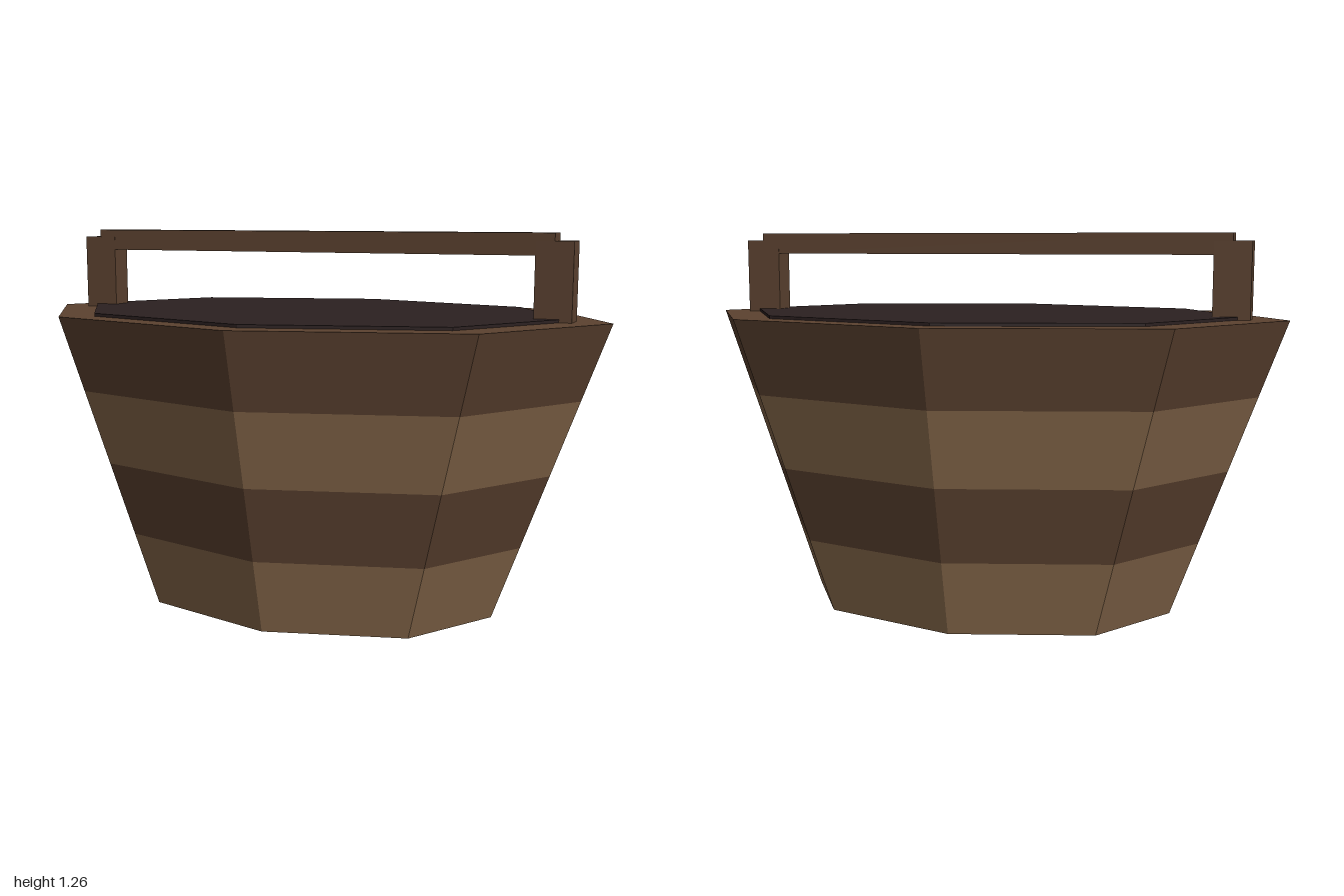
import * as THREE from 'three';

const SIDES = 8;
const DEPTH = 0.665; // depth of the oval relative to its width
const HEIGHT = 0.99;
const BANDS = 4;

const material = (name, color) => {
  const m = new THREE.MeshStandardMaterial({ color, flatShading: true });
  m.name = name;
  return m;
};

export function createModel() {
  const group = new THREE.Group();
  const darkWood = material('dark wood', 0x5c4230);
  const lightWood = material('light wood', 0x85674a);
  const interior = material('dark interior', 0x2b2020);

  const add = (name, geometry, mat, x, y, z = 0) => {
    const mesh = new THREE.Mesh(geometry, mat);
    mesh.name = name;
    mesh.position.set(x, y, z);
    group.add(mesh);
    return mesh;
  };

  // Flared walls in alternating bands
  const radiusAt = (y) => THREE.MathUtils.lerp(0.64, 1, y / HEIGHT);
  const step = HEIGHT / BANDS;
  for (let i = 0; i < BANDS; i++) {
    const g = new THREE.CylinderGeometry(
      radiusAt((i + 1) * step), radiusAt(i * step), step, SIDES, 1, true);
    g.scale(1, 1, DEPTH);
    add('wallBand' + (i + 1), g, i % 2 ? darkWood : lightWood, 0, (i + 0.5) * step);
  }

  // Flat base and top rim
  const cap = (radius, turn) =>
    new THREE.CircleGeometry(radius, SIDES).rotateX(turn).scale(1, 1, DEPTH);
  add('base', cap(0.64, Math.PI / 2), lightWood, 0, 0);
  add('rim', cap(1, -Math.PI / 2), darkWood, 0, HEIGHT);

  // Dark opening, slightly proud of the rim
  const opening = new THREE.CylinderGeometry(0.864, 0.864, 0.014, SIDES).scale(1, 1, DEPTH);
  add('opening', opening, interior, 0, 0.993);

  // Handle: two posts and a crossbar
  for (const side of [-1, 1]) {
    add(side > 0 ? 'leftHandlePost' : 'rightHandlePost',
      new THREE.BoxGeometry(0.12, 0.255, 0.078), darkWood, side * 0.82, 1.1125);
  }
  add('handleBar', new THREE.BoxGeometry(1.64, 0.07, 0.077), darkWood, 0, 1.23);

  return group;
}
